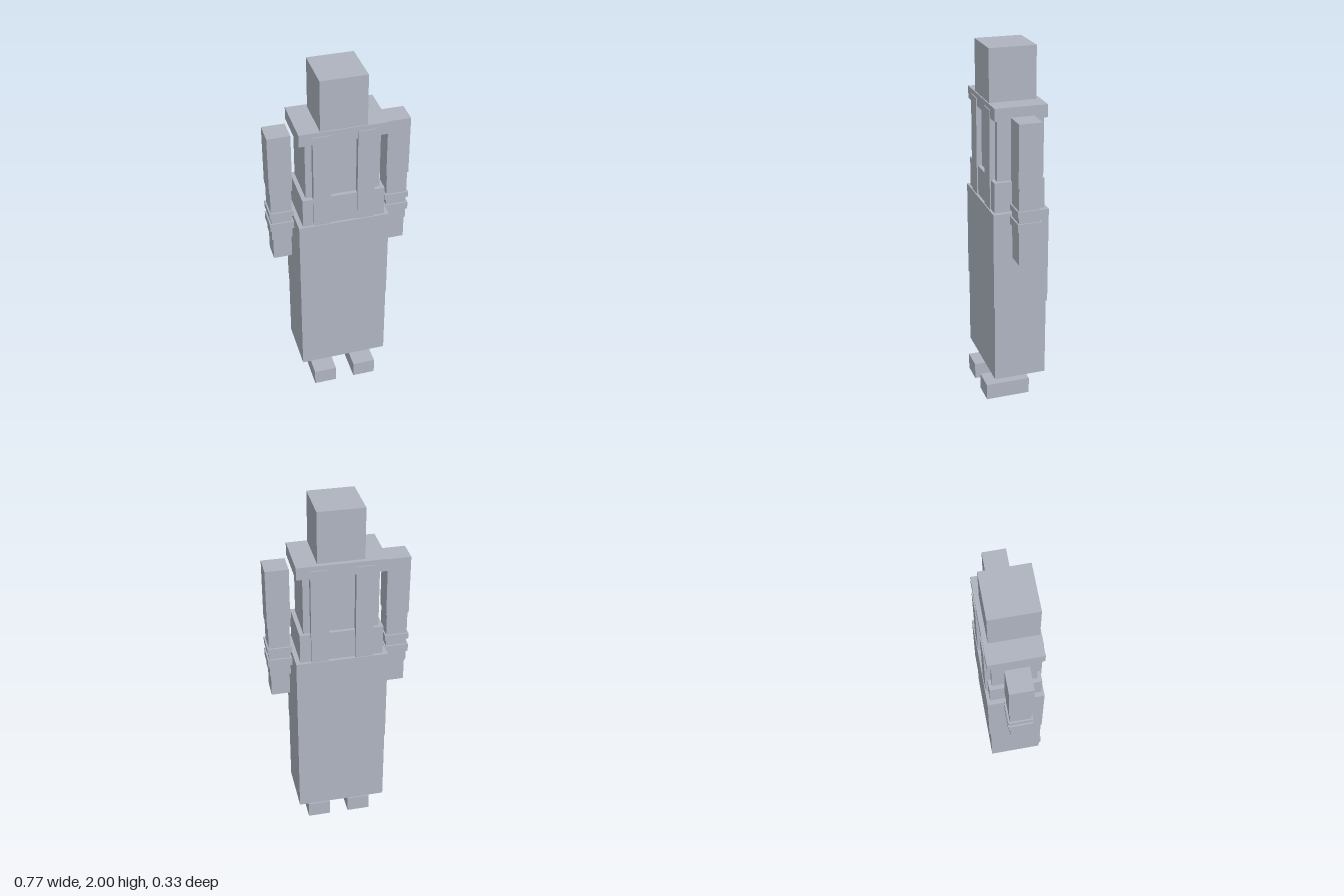
import * as THREE from 'three';

export function createModel() {
  const model = new THREE.Group();
  model.name = 'blockFigure';
  const greyBlue = new THREE.MeshStandardMaterial({ color: 0xaeb4c0 });
  greyBlue.name = 'greyBlue';

  // Box from its extents: centre x and width, then y and z ranges
  function block(parent, name, x, width, [y0, y1], [z0, z1]) {
    const mesh = new THREE.Mesh(new THREE.BoxGeometry(width, y1 - y0, z1 - z0), greyBlue);
    mesh.position.set(x, (y0 + y1) / 2, (z0 + z1) / 2);
    mesh.name = name;
    parent.add(mesh);
  }

  // Head and torso
  block(model, 'head', 0, 0.247, [1.72, 2], [-0.131, 0.123]);
  block(model, 'shoulderYoke', 0, 0.47, [1.652, 1.72], [-0.155, 0.129]);
  block(model, 'torso', 0, 0.4, [1.155, 1.652], [-0.131, 0.105]);
  block(model, 'waistband', 0, 0.445, [1.155, 1.32], [-0.148, 0.127]);

  // Long skirt, with a slightly deeper upper tier
  block(model, 'upperSkirt', 0, 0.494, [0.613, 1.155], [-0.165, 0.14]);
  block(model, 'lowerSkirt', 0, 0.492, [0.167, 0.613], [-0.157, 0.135]);

  for (const [side, label] of [[1, 'left'], [-1, 'right']]) {
    // Vest straps, front and back
    const strapX = side * 0.118;
    block(model, label + 'FrontStrap', strapX, 0.093, [1.155, 1.695], [0.1, 0.134]);
    block(model, label + 'BackStrap', strapX, 0.093, [1.155, 1.695], [-0.161, -0.125]);

    // Arm: sleeve, forearm, two bracelets and hand
    const arm = new THREE.Group();
    arm.name = label + 'Arm';
    arm.position.x = side * 0.318;
    block(arm, 'sleeve', 0, 0.123, [1.34, 1.674], [-0.075, 0.049]);
    block(arm, 'forearm', 0, 0.113, [1.038, 1.34], [-0.07, 0.044]);
    block(arm, 'upperBracelet', 0, 0.13, [1.18, 1.213], [-0.079, 0.052]);
    block(arm, 'lowerBracelet', 0, 0.13, [1.1, 1.144], [-0.079, 0.052]);
    block(arm, 'hand', 0, 0.101, [0.91, 1.038], [-0.064, 0.042]);
    model.add(arm);

    // Leg stub and separate foot
    block(model, label + 'Leg', side * 0.118, 0.118, [0.122, 0.167], [-0.076, 0.052]);
    block(model, label + 'Foot', side * 0.118, 0.128, [0.002, 0.095], [-0.087, 0.163]);
  }

  model.children.forEach((part) => { part.position.x -= 0.001; });
  return model;
}
